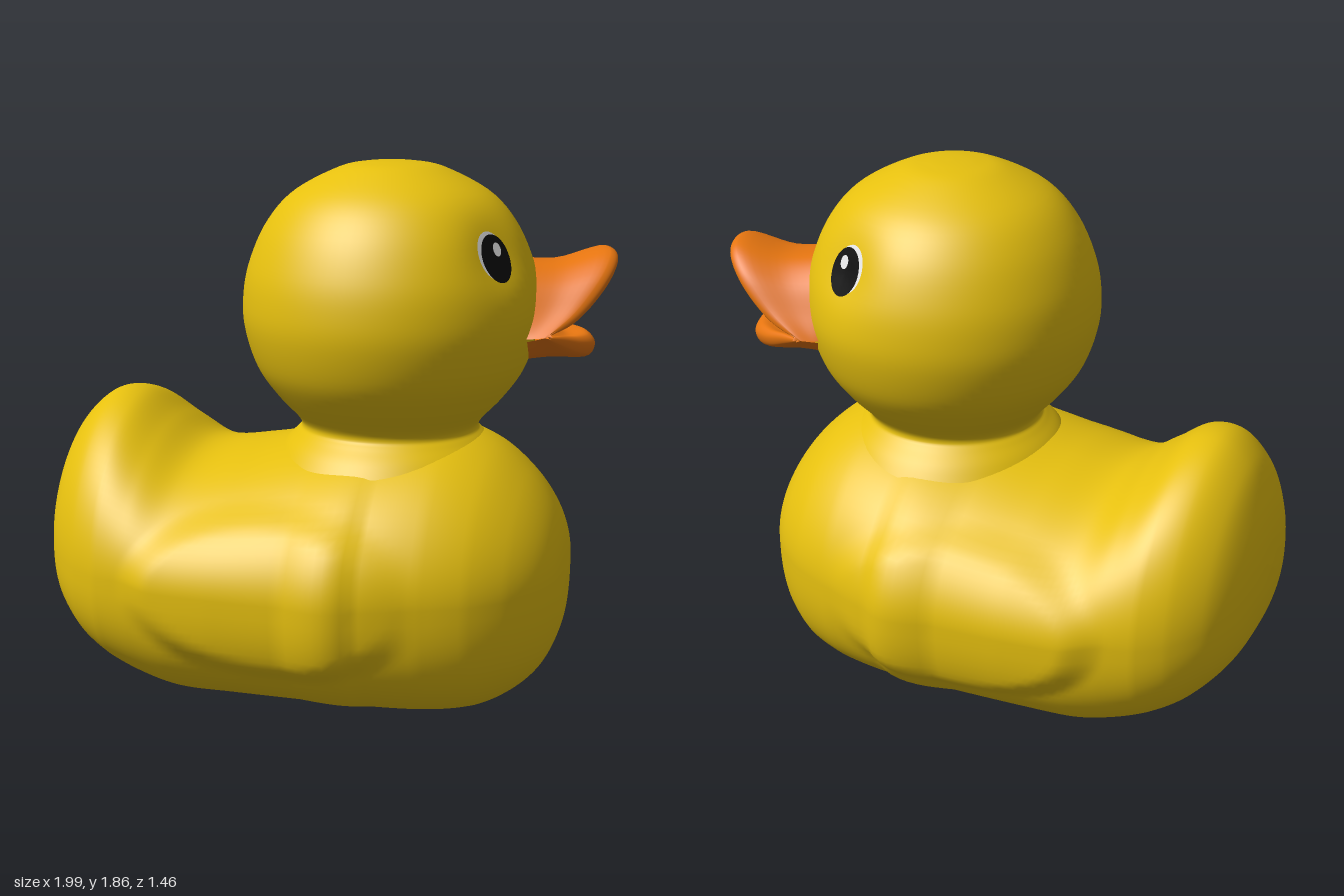
import * as THREE from 'three';
import { mergeVertices } from 'three/addons/utils/BufferGeometryUtils.js';

const material = (name, color, side = THREE.FrontSide) => {
  const m = new THREE.MeshStandardMaterial({ color, side });
  m.name = name;
  return m;
};
const V = (x, y, z) => new THREE.Vector3(x, y, z);
const curve = (pts) => new THREE.CatmullRomCurve3(pts);

// Smooth surface from point(u, v), with u and v in 0..1
function surface(point, nu, nv) {
  const pos = [], index = [];
  for (let i = 0; i <= nu; i++)
    for (let j = 0; j <= nv; j++) pos.push(...point(i / nu, j / nv).toArray());
  for (let i = 0; i < nu; i++)
    for (let j = 0; j < nv; j++) {
      const a = i * (nv + 1) + j, b = a + nv + 1;
      index.push(a, b, b + 1, a, b + 1, a + 1);
    }
  const g = new THREE.BufferGeometry();
  g.setAttribute('position', new THREE.Float32BufferAttribute(pos, 3));
  g.setIndex(index);
  const welded = mergeVertices(g, 1e-5);
  welded.computeVertexNormals();
  return welded;
}

// Body stations along x: x, bottom, top, half width, height of widest point
const STATIONS = [
  [-1, 0.55, 0.55, 0, 0.55], [-0.99, 0.42, 0.68, 0.16, 0.53],
  [-0.96, 0.29, 0.8, 0.3, 0.5], [-0.9, 0.19, 0.925, 0.42, 0.48],
  [-0.8, 0.09, 1.005, 0.52, 0.46], [-0.7, 0.03, 1.0, 0.575, 0.45],
  [-0.58, -0.02, 0.915, 0.605, 0.45], [-0.45, -0.05, 0.835, 0.625, 0.44],
  [-0.25, -0.05, 0.85, 0.645, 0.44], [0, -0.05, 0.9, 0.655, 0.44],
  [0.25, -0.05, 0.94, 0.655, 0.44], [0.45, -0.05, 0.94, 0.61, 0.44],
  [0.6, -0.03, 0.885, 0.54, 0.44], [0.72, 0.03, 0.79, 0.44, 0.44],
  [0.8, 0.11, 0.69, 0.33, 0.44], [0.85, 0.23, 0.58, 0.2, 0.44],
  [0.87, 0.43, 0.43, 0, 0.43],
];

function bodyGeometry() {
  const spine = curve(STATIONS.map((s) => V(s[0], s[1], s[2])));
  const girth = curve(STATIONS.map((s) => V(s[3], s[4], 0)));
  const step = THREE.MathUtils.smoothstep;
  return surface((u, v) => {
    const { x, y: bottom, z: top } = spine.getPoint(u);
    const { x: w, y: mid } = girth.getPoint(u);
    const a = v * Math.PI * 2, c = Math.cos(a), s = Math.sin(a);
    const n = s > 0 ? 1.9 : 2.6;
    const power = (k) => Math.sign(k) * Math.pow(Math.abs(k), 2 / n);
    const y = Math.max(0, mid + power(s) * (s > 0 ? top - mid : mid - bottom));
    let z = power(c) * Math.max(w, 0);
    // Raised wing pads that fade out towards the chest
    const d = Math.hypot((x + 0.05) / 0.52, (y - 0.44) / 0.28);
    const wing = (1 - step(d, 0.8, 1.08)) * (1 - step(x, 0.15, 0.5));
    z += Math.sign(Math.abs(c) < 1e-6 ? 0 : c) * 0.04 * wing;
    return V(x, y, z);
  }, 128, 112);
}

// Head and neck profile: radius, height above the head centre
const HEAD = [
  [0.43, -0.56], [0.38, -0.49], [0.335, -0.445], [0.315, -0.42], [0.33, -0.385],
  [0.4, -0.31], [0.47, -0.21], [0.513, -0.08], [0.52, 0.03], [0.5, 0.15],
  [0.44, 0.29], [0.345, 0.4], [0.19, 0.483], [0.09, 0.505], [0, 0.51],
];
const EYE = (side) => V(0.31, 0.2, 0.315 * side);

function headGeometry() {
  const spline = new THREE.SplineCurve(HEAD.map(([r, y]) => new THREE.Vector2(r, y)));
  const profile = spline.getPoints(72);
  profile.forEach((p) => { p.x = Math.max(p.x, 0); });
  let g = new THREE.LatheGeometry(profile, 96);
  g.deleteAttribute('normal');
  g.deleteAttribute('uv');
  g = mergeVertices(g, 1e-5);
  // Shallow eye sockets
  const pos = g.attributes.position, p = V(0, 0, 0);
  for (let i = 0; i < pos.count; i++) {
    p.fromBufferAttribute(pos, i);
    let dent = 0;
    for (const side of [-1, 1]) dent += 0.03 * Math.exp(-p.distanceToSquared(EYE(side)) / 0.017);
    p.setLength(p.length() - dent);
    pos.setXYZ(i, p.x, p.y, p.z);
  }
  g.computeVertexNormals();
  return g;
}

// Oval plate laid on the head around one eye; a runs forward, b runs up
function eyePlate(head, side, a, b, ra, rb, lift) {
  const eye = EYE(side), n = eye.clone().normalize();
  const forward = V(0, 1, 0).cross(n).normalize().multiplyScalar(side);
  const up = n.clone().cross(forward).multiplyScalar(side);
  const ray = new THREE.Raycaster();
  return surface((u, v) => {
    const t = v * Math.PI * 2;
    const p = eye.clone()
      .addScaledVector(forward, a + ra * u * Math.cos(t))
      .addScaledVector(up, b + rb * u * Math.sin(t));
    ray.set(p.clone().addScaledVector(n, 0.3), n.clone().negate());
    const hit = ray.intersectObject(head)[0];
    return (hit ? hit.point : p).addScaledVector(n, lift);
  }, 4, 32);
}

// Half of the mouth opening, from the middle to the corner
const THROAT = [[0.55, -0.065, 0], [0.545, -0.065, 0.07], [0.53, -0.065, 0.14],
  [0.505, -0.065, 0.2], [0.48, -0.068, 0.26]];

// Bill half: rounded shell from the face, over the rim, back to the throat
function billGeometry(base, rim, outerShift, innerShift, bow) {
  const shifted = (pts, [df, dy]) => pts.map(([f, y, s], i) => {
    const k = 1 - (i / 4) ** 2;
    return [f + df * k, y + dy * k, s];
  });
  const middle = (p, q, dy) => shifted(p.map((m, i) => m.map((c, k) => (c + q[i][k]) / 2)), [0, dy]);
  const outer = shifted(rim, outerShift), inner = shifted(rim, innerShift);
  const rows = [base, middle(base, outer, bow[0]), outer, rim, inner,
    middle(inner, THROAT, bow[1]), THROAT];
  const across = rows.map((half) => curve([
    ...half.slice(1).reverse().map(([f, y, s]) => V(f, y, -s)),
    ...half.map(([f, y, s]) => V(f, y, s)),
  ]));
  return surface((u, v) => curve(across.map((c) => c.getPoint(u))).getPoint(v), 48, 36);
}

export function createModel() {
  const yellow = material('yellow', 0xe6c00f);
  const orange = material('orange', 0xe67510, THREE.DoubleSide);
  const black = material('black', 0x0a0a0a, THREE.DoubleSide);
  const white = material('white', 0xf0f0f0, THREE.DoubleSide);
  const model = new THREE.Group();
  model.name = 'toyDuck';
  const add = (parent, name, geometry, mat) => {
    const mesh = new THREE.Mesh(geometry, mat);
    mesh.name = name;
    parent.add(mesh);
    return mesh;
  };

  add(model, 'bodyWithTailAndWings', bodyGeometry(), yellow);

  // The head faces +x and is turned a little to one side
  const headGroup = new THREE.Group();
  headGroup.name = 'headGroup';
  const head = add(headGroup, 'head', headGeometry(), yellow);

  for (const [side, label] of [[1, 'left'], [-1, 'right']]) {
    add(headGroup, label + 'EyeRim', eyePlate(head, side, -0.012, 0.012, 0.072, 0.085, 0.003), white);
    add(headGroup, label + 'Eye', eyePlate(head, side, 0, 0, 0.072, 0.085, 0.006), black);
    add(headGroup, label + 'EyeHighlight', eyePlate(head, side, 0.015, 0.03, 0.02, 0.024, 0.009), white);
  }

  add(headGroup, 'upperBill', billGeometry(
    [[0.42, 0.17, 0], [0.42, 0.16, 0.08], [0.42, 0.1, 0.16], [0.41, 0, 0.22], [0.42, -0.08, 0.26]],
    [[0.79, 0.185, 0], [0.78, 0.17, 0.09], [0.73, 0.11, 0.17], [0.62, 0, 0.235], [0.5, -0.07, 0.285]],
    [-0.03, 0.022], [-0.025, -0.06], [-0.025, 0.03]), orange);
  add(headGroup, 'lowerBill', billGeometry(
    [[0.42, -0.19, 0], [0.42, -0.185, 0.08], [0.42, -0.165, 0.15], [0.42, -0.13, 0.21], [0.44, -0.09, 0.25]],
    [[0.72, -0.125, 0], [0.71, -0.125, 0.08], [0.66, -0.115, 0.15], [0.58, -0.09, 0.22], [0.5, -0.07, 0.285]],
    [-0.02, -0.045], [-0.03, 0.035], [0.005, -0.02]), orange);

  headGroup.position.set(0.22, 1.35, 0);
  headGroup.rotation.y = 0.314;
  model.add(headGroup);
  return model;
}
